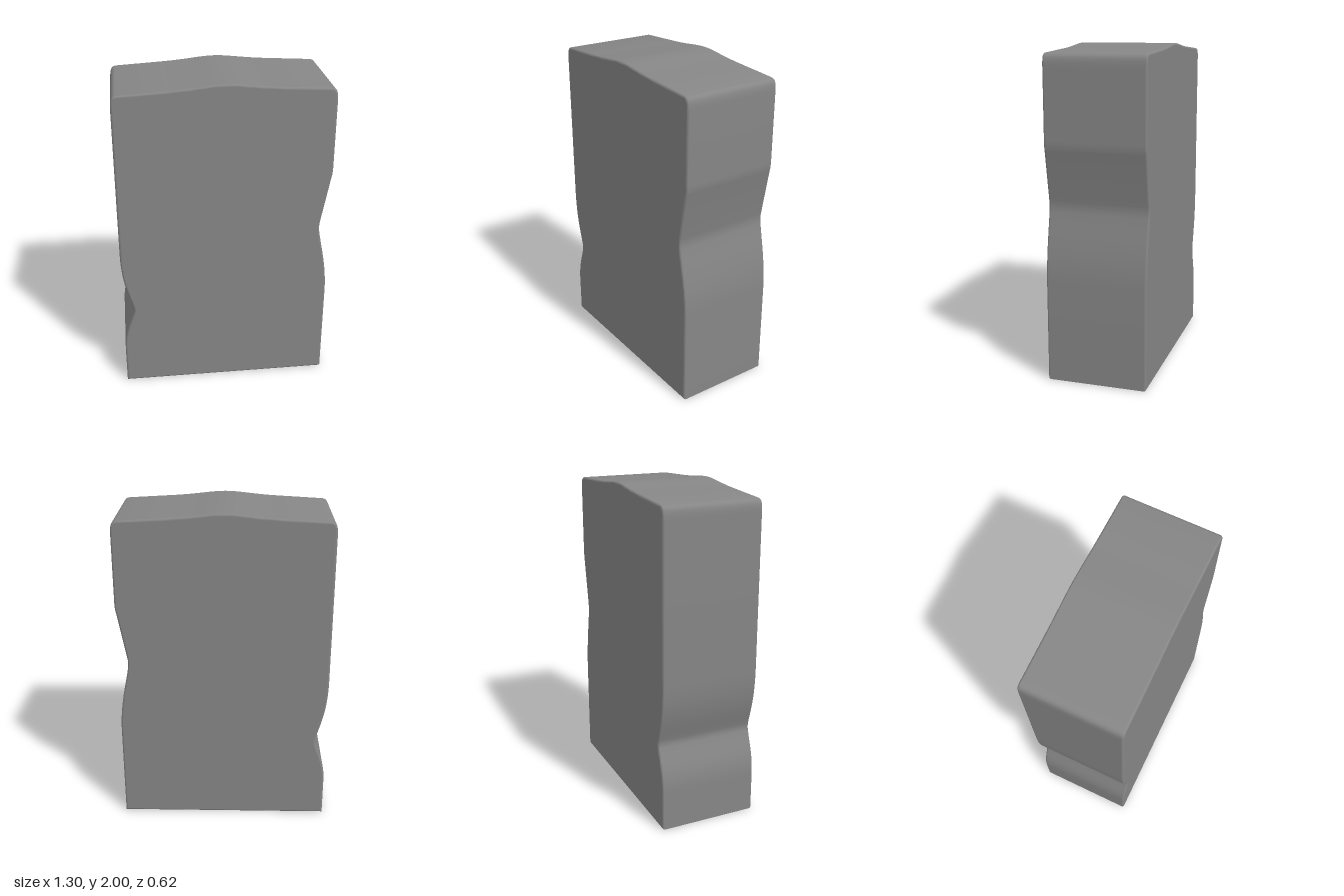
import * as THREE from 'three';
import { toCreasedNormals } from 'three/addons/utils/BufferGeometryUtils.js';

const HALF_WIDTH = 0.649;
const DEPTH = 0.616;
const BEVEL = 0.014;

// Front outline: a slab with a notch in each side and a low peak on top
function slabOutline() {
  const s = new THREE.Shape();
  const w = HALF_WIDTH;
  s.moveTo(-w, 0);
  s.lineTo(w, 0);
  // notch on the left (+x) side
  s.lineTo(w, 0.6);
  s.bezierCurveTo(w, 0.78, 0.605, 0.93, 0.589, 1.03);
  s.quadraticCurveTo(0.583, 1.065, 0.589, 1.1);
  s.lineTo(0.641, 1.39);
  s.quadraticCurveTo(w, 1.42, w, 1.46);
  // rounded shoulder, peaked top, rounded shoulder
  s.lineTo(w, 1.87);
  s.bezierCurveTo(w, 1.93, 0.642, 1.953, 0.61, 1.956);
  s.lineTo(0.33, 1.972);
  s.bezierCurveTo(0.16, 1.982, 0.09, 2, 0, 2);
  s.bezierCurveTo(-0.09, 2, -0.16, 1.982, -0.33, 1.972);
  s.lineTo(-0.61, 1.956);
  s.bezierCurveTo(-0.642, 1.953, -w, 1.93, -w, 1.87);
  // notch on the right (-x) side
  s.lineTo(-w, 0.95);
  s.bezierCurveTo(-w, 0.75, -0.61, 0.66, -0.585, 0.565);
  s.quadraticCurveTo(-0.577, 0.535, -0.587, 0.508);
  s.bezierCurveTo(-0.61, 0.43, -w, 0.37, -w, 0.24);
  s.closePath();
  return s;
}

// Flat faces and walls shade evenly; only the bevel between them blends
function evenNormals(geometry, wallZ) {
  const { position, normal } = geometry.attributes;
  const n = new THREE.Vector3();
  for (let i = 0; i < position.count; i++) {
    const z = position.getZ(i);
    n.fromBufferAttribute(normal, i);
    if (Math.abs(z) > DEPTH / 2 - 1e-4) n.set(0, 0, Math.sign(z));
    else if (Math.abs(z) < wallZ + 1e-4) n.setZ(0).normalize();
    normal.setXYZ(i, n.x, n.y, n.z);
  }
  return geometry;
}

export function createModel() {
  const depth = DEPTH - 2 * BEVEL;
  const geometry = new THREE.ExtrudeGeometry(slabOutline(), {
    depth,
    curveSegments: 12,
    bevelEnabled: true,
    bevelThickness: BEVEL,
    bevelSize: BEVEL,
    bevelOffset: -BEVEL, // keeps the outline at full size
    bevelSegments: 4,
  });
  geometry.translate(0, 0, -depth / 2);

  const slab = new THREE.Mesh(
    evenNormals(toCreasedNormals(geometry, 0.6), depth / 2),
    new THREE.MeshStandardMaterial({ color: 0x868686 })
  );
  slab.name = 'stoneSlab';

  const group = new THREE.Group();
  group.name = 'notchedStone';
  group.add(slab);
  return group;
}
